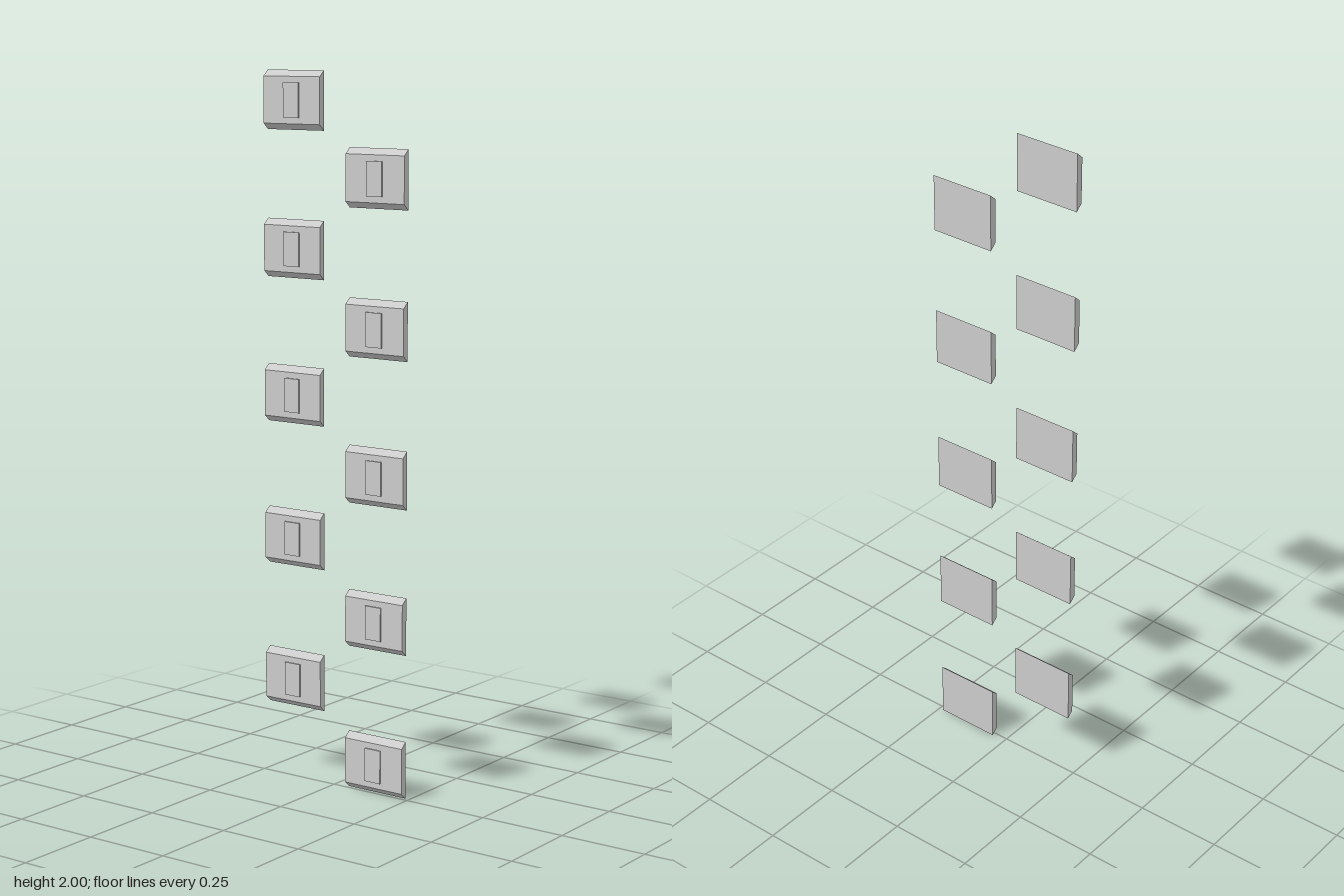
import * as THREE from 'three';

const W = 0.193, H = 0.163, BEVEL = 0.017;
const BACK = -0.012, FACE = 0.0075, FRONT = 0.012;
const COUNT = 10, STEP = (2 - H) / (COUNT - 1), OFFSET = 0.14;

export function createModel() {
  const model = new THREE.Group();
  model.name = 'staggeredSteps';
  const material = new THREE.MeshStandardMaterial({ color: 0xcccccc, flatShading: true });

  // Side profile: flat tall back, shorter front face, sloped top and bottom
  const h = H / 2;
  const profile = new THREE.Shape([
    new THREE.Vector2(-BACK, -h),
    new THREE.Vector2(-BACK, h),
    new THREE.Vector2(-FACE, h - BEVEL),
    new THREE.Vector2(-FACE, -h + BEVEL),
  ]);
  const slabGeo = new THREE.ExtrudeGeometry(profile, { depth: W, bevelEnabled: false });
  slabGeo.translate(0, 0, -W / 2).rotateY(Math.PI / 2);

  // Small raised pad on the front face
  const padDepth = FRONT - BACK - 0.004;
  const padGeo = new THREE.BoxGeometry(0.052, 0.095, padDepth);
  padGeo.translate(0, 0, FRONT - padDepth / 2);

  // Steps alternate between the two columns, lowest on the left (+x)
  for (let i = 0; i < COUNT; i++) {
    const step = new THREE.Group();
    step.name = `step${i + 1}`;
    const slab = new THREE.Mesh(slabGeo, material);
    slab.name = 'slab';
    const pad = new THREE.Mesh(padGeo, material);
    pad.name = 'raisedPad';
    step.add(slab, pad);
    step.position.set(i % 2 ? -OFFSET : OFFSET, h + i * STEP, 0);
    model.add(step);
  }
  return model;
}
